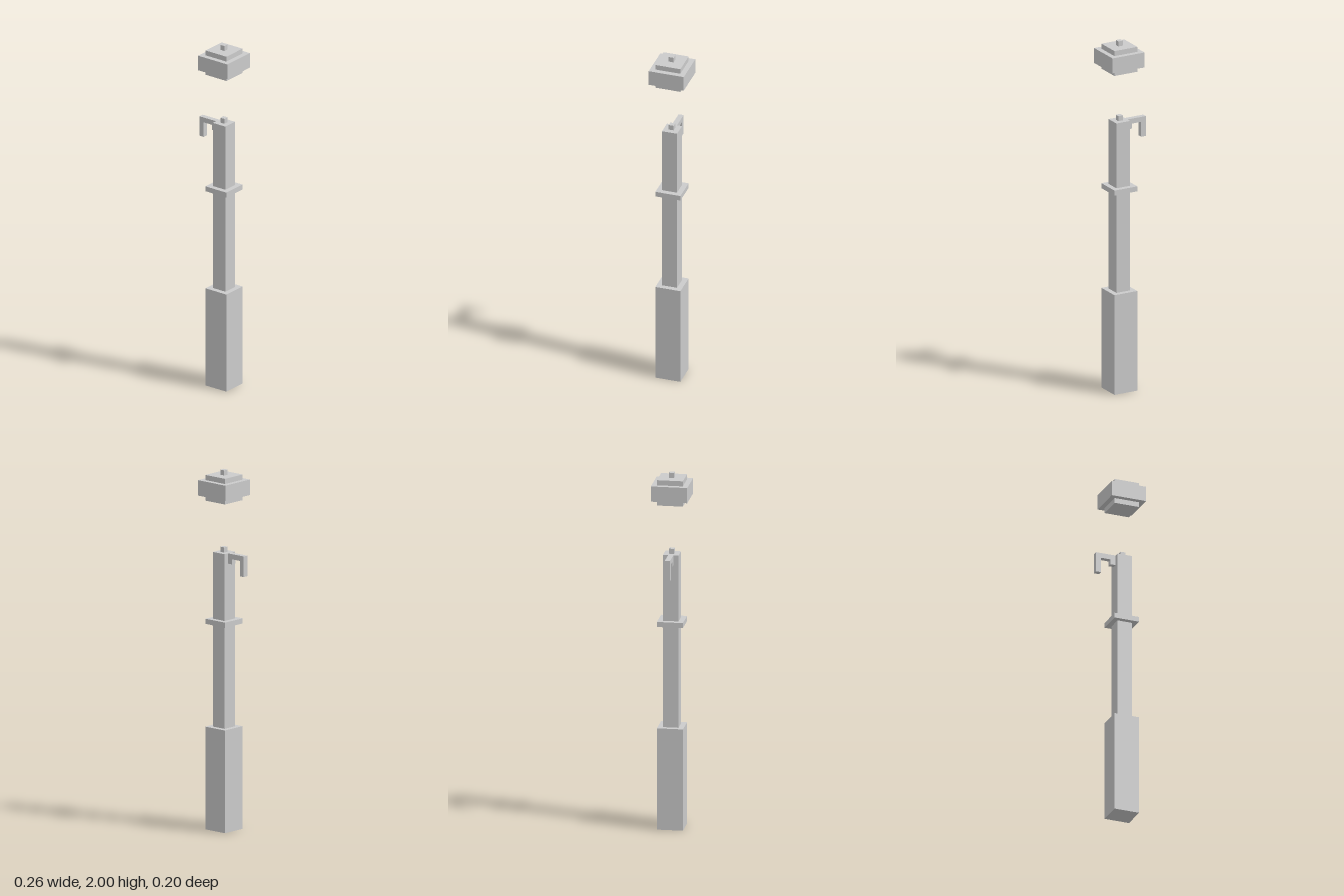
import * as THREE from 'three';

const U = 1 / 35; // modelling unit: the whole post is 70 units tall
const AXIS = 1;   // x of the post's axis, in units

export function createModel() {
  const group = new THREE.Group();
  const material = new THREE.MeshStandardMaterial({ color: 0xcccccc, flatShading: true });

  // Square block centred on the post's axis, from height y0 to y1
  function block(name, width, y0, y1) {
    const mesh = new THREE.Mesh(new THREE.BoxGeometry(width * U, (y1 - y0) * U, width * U), material);
    mesh.name = name;
    mesh.position.set(AXIS * U, ((y0 + y1) / 2) * U, 0);
    group.add(mesh);
  }

  // Post
  block('base', 5, 0, 20);
  block('shaft', 3, 20, 54);
  block('collar', 5, 40, 41);
  block('shaftPin', 1, 54, 55);

  // Floating cap
  block('capBottom', 5, 64, 65);
  block('capBody', 7, 65, 68);
  block('capTop', 5, 68, 69);
  block('capPin', 1, 69, 70);

  // Side hook with a short bracket against the shaft and a longer drop at the tip
  const outline = [
    [-0.5, 54], [-4.5, 54], [-4.5, 50], [-3.5, 50],
    [-3.5, 53], [-1.5, 53], [-1.5, 52], [-0.5, 52],
  ].map(([x, y]) => new THREE.Vector2(x * U, y * U));
  const hookGeometry = new THREE.ExtrudeGeometry(new THREE.Shape(outline), { depth: U, bevelEnabled: false });
  const hook = new THREE.Mesh(hookGeometry, material);
  hook.name = 'hook';
  hook.position.z = -U / 2;
  group.add(hook);

  return group;
}
